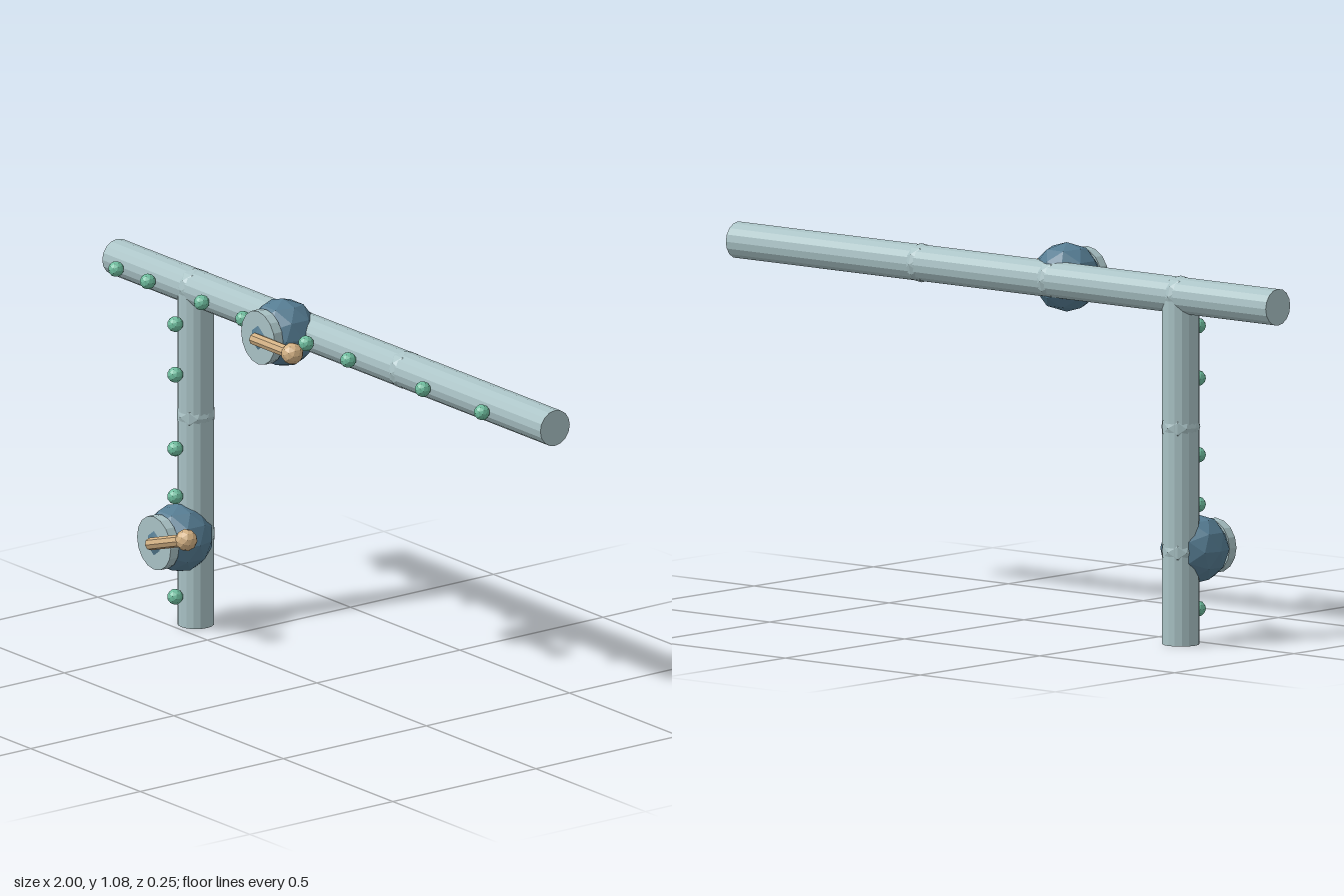
import * as THREE from 'three';

const flat = (color, name) => {
  const m = new THREE.MeshStandardMaterial({ color, flatShading: true });
  m.name = name;
  return m;
};

export function createModel() {
  const group = new THREE.Group();
  const pipeMetal = flat(0xa9c2c5, 'pale pipe metal');
  const valveBlue = flat(0x557c92, 'valve blue');
  const rivetGreen = flat(0x6ebd9e, 'rivet green');
  const handleTan = flat(0xd2b083, 'handle tan');

  const pipeY = 0.978, pipeZ = -0.067, pipeR = 0.0515, standX = -0.64;

  const add = (parent, name, geometry, material, x, y, z) => {
    const mesh = new THREE.Mesh(geometry, material);
    mesh.name = name;
    mesh.position.set(x, y, z);
    parent.add(mesh);
    return mesh;
  };

  // Main pipe and the branch dropping from it
  const main = add(group, 'mainPipe', new THREE.CylinderGeometry(pipeR, pipeR, 2, 16), pipeMetal, 0, pipeY, pipeZ);
  main.rotation.z = Math.PI / 2;
  add(group, 'branchPipe', new THREE.CylinderGeometry(pipeR, pipeR, pipeY, 16), pipeMetal, standX, pipeY / 2, pipeZ);

  // Faceted joints that swell slightly through the pipes
  const jointGeo = new THREE.IcosahedronGeometry(0.055, 1);
  for (const [x, y] of [[standX, pipeY], [-0.165, pipeY], [0.32, pipeY], [standX, 0.61], [standX, 0.262]]) {
    add(group, 'pipeJoint', jointGeo, pipeMetal, x, y, pipeZ);
  }

  // Rivets along the front of both pipes
  const rivetGeo = new THREE.IcosahedronGeometry(0.0225, 1);
  for (const x of [-0.91, -0.765, -0.52, -0.33, -0.043, 0.15, 0.49, 0.76]) {
    add(group, 'mainRivet', rivetGeo, rivetGreen, x, pipeY, 0.005);
  }
  for (const y of [0.092, 0.384, 0.523, 0.738, 0.885]) {
    add(group, 'branchRivet', rivetGeo, rivetGreen, standX, y, 0.005);
  }

  // Valve: round body, front collar and a lever with a knob
  const bodyGeo = new THREE.IcosahedronGeometry(0.0975, 1);
  const collarGeo = new THREE.CylinderGeometry(0.077, 0.077, 0.029, 16).rotateX(Math.PI / 2);
  const leverLength = 0.174;
  const leverGeo = new THREE.CylinderGeometry(0.0175, 0.0175, leverLength, 8).rotateZ(Math.PI / 2);
  const knobGeo = new THREE.IcosahedronGeometry(0.031, 1);

  const addValve = (name, x, y, angle) => {
    const valve = new THREE.Group();
    valve.name = name;
    valve.position.set(x, y, 0);
    add(valve, 'valveBody', bodyGeo, valveBlue, 0, 0, -0.008);
    add(valve, 'valveCollar', collarGeo, pipeMetal, 0, 0, 0.065);
    const handle = new THREE.Group();
    handle.name = 'valveHandle';
    handle.position.z = 0.093;
    handle.rotation.z = angle;
    add(handle, 'lever', leverGeo, handleTan, leverLength / 2, 0, 0);
    add(handle, 'knob', knobGeo, handleTan, leverLength, 0, 0);
    valve.add(handle);
    group.add(valve);
  };
  addValve('mainValve', -0.165, pipeY, 0);
  addValve('branchValve', standX, 0.262, 0.31);

  return group;
}
